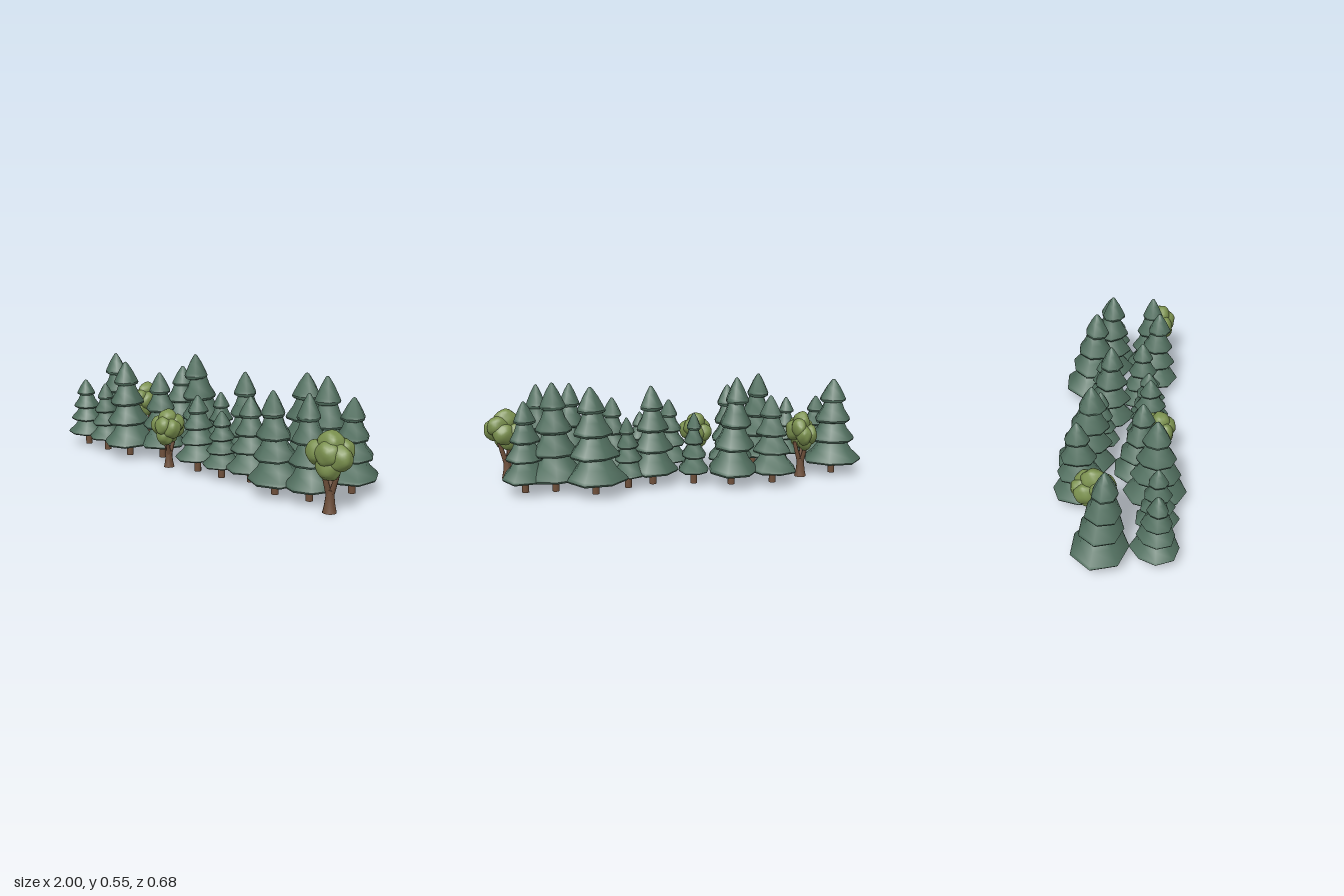
import * as THREE from 'three';
import { toCreasedNormals } from 'three/addons/utils/BufferGeometryUtils.js';

const needles = new THREE.MeshStandardMaterial({ color: 0x527060 });
const leaves = new THREE.MeshStandardMaterial({ color: 0x7a904e });
const bark = new THREE.MeshStandardMaterial({ color: 0x6e4f3a });
needles.name = 'needleGreen';
leaves.name = 'leafGreen';
bark.name = 'barkBrown';

// Small seeded generator
function seeded(seed) {
  let s = seed * 7919 + 17;
  return () => {
    s = (s * 16807) % 2147483647;
    return s / 2147483647;
  };
}

function part(geometry, material, name) {
  const mesh = new THREE.Mesh(geometry, material);
  mesh.name = name;
  return mesh;
}

// Skirt profiles: [share of radius, share of height]
const SKIRT = [[0, 0.02], [0.8, 0], [0.95, 0.03], [1, 0.1], [0.95, 0.2], [0.66, 0.5], [0.46, 0.85], [0, 1.05]];
const TIP = [[0, 0.02], [0.8, 0], [0.97, 0.05], [1, 0.13], [0.9, 0.25], [0.52, 0.65], [0.17, 0.94], [0.08, 0.985], [0, 1]];

// Irregular seven- or eight-sided skirt of branches
function skirt(profile, radius, height, sides, factors) {
  const pts = profile.map(([r, y]) => new THREE.Vector2(r * radius, y * height));
  const g = new THREE.LatheGeometry(pts, sides);
  const p = g.attributes.position;
  for (let i = 0; i < p.count; i++) {
    const f = factors[Math.floor(i / pts.length) % sides];
    p.setX(i, p.getX(i) * f);
    p.setZ(i, p.getZ(i) * f);
  }
  return toCreasedNormals(g, 0.65);
}

// Conifer: trunk and four stacked skirts leaning to the tip
function conifer([x, z, height, rx, rz, tipX, tipZ], index) {
  const rand = seeded(index + 3);
  const tree = new THREE.Group();
  tree.name = 'conifer';
  const trunk = part(new THREE.CylinderGeometry(0.017, 0.018, 0.14, 10), bark, 'trunk');
  trunk.position.set(x, 0.07, z);
  tree.add(trunk);
  const base = 0.06 + rand() * 0.008;
  const span = height - base;
  const sides = 7 + (index % 2);
  const outline = Array.from({ length: sides }, () => 0.94 + rand() * 0.15);
  const starts = [0, 0.25, 0.48, 0.72];
  const sizes = [1, 0.79, 0.63, 0.45];
  starts.forEach((s, k) => {
    const last = k === 3;
    const factors = outline.map((f) => f + (rand() - 0.5) * 0.08);
    const g = skirt(last ? TIP : SKIRT, sizes[k], span * (last ? 0.28 : 0.31), sides, factors);
    const mesh = part(g, needles, last ? 'topSkirt' : 'branchSkirt');
    mesh.scale.set(rx, 1, rz);
    const t = k / 3;
    mesh.position.set(x + (tipX - x) * t, base + span * s, z + (tipZ - z) * t);
    tree.add(mesh);
  });
  return tree;
}

// Lumpy ball of leaves
function lump(radius, phase) {
  const g = new THREE.IcosahedronGeometry(1, 4);
  const p = g.attributes.position;
  const v = new THREE.Vector3();
  for (let i = 0; i < p.count; i++) {
    v.fromBufferAttribute(p, i);
    const d = 1 + 0.05 * Math.sin(5 * v.x + phase) * Math.cos(4 * v.y + phase) + 0.04 * Math.sin(6 * v.z + 3 * v.y + phase);
    v.multiplyScalar(d * radius);
    p.setXYZ(i, v.x, v.y, v.z);
  }
  return toCreasedNormals(g, 1);
}

// Crown lobes: [x, y, z, radius] in a unit crown
const LOBES = [
  [0, 0.45, 0.05, 0.56], [-0.45, 0.1, 0.3, 0.5], [0.48, 0.02, 0.2, 0.52], [0.1, -0.1, -0.48, 0.5],
  [-0.42, -0.1, -0.3, 0.5], [0.05, -0.4, 0.3, 0.52], [0.1, 0.15, 0.48, 0.5], [-0.15, -0.42, -0.15, 0.52],
  [0.35, 0.25, -0.3, 0.48],
];

// Branch between two points, thinning upward
function limb(from, to, r0, r1) {
  const a = new THREE.Vector3(...from);
  const dir = new THREE.Vector3(...to).sub(a);
  const mesh = part(new THREE.CylinderGeometry(r1, r0, dir.length(), 8), bark, 'branch');
  mesh.position.copy(a).addScaledVector(dir, 0.5);
  mesh.quaternion.setFromUnitVectors(new THREE.Vector3(0, 1, 0), dir.normalize());
  return mesh;
}

// Broadleaf: flared trunk, forked branches and lobed crown
function broadleaf([x, z, low, high, rx, rz], index) {
  const tree = new THREE.Group();
  tree.name = 'broadleafTree';
  const k = high / 0.37;
  const profile = [[0, 0], [0.033, 0], [0.026, 0.03], [0.021, 0.07], [0.02, 0.105], [0, 0.11]];
  const trunk = part(
    toCreasedNormals(new THREE.LatheGeometry(profile.map(([r, y]) => new THREE.Vector2(r * k, y * k)), 10), 0.7),
    bark, 'trunk');
  tree.add(trunk);
  for (let i = 0; i < 3; i++) {
    const a = index + (i * Math.PI * 2) / 3;
    const c = Math.cos(a) * k, s = Math.sin(a) * k;
    tree.add(limb([c * 0.006, 0.08 * k, s * 0.006], [c * 0.04, 0.2 * k, s * 0.04], 0.014 * k, 0.01 * k));
  }
  const crown = new THREE.Group();
  crown.name = 'crown';
  LOBES.forEach(([lx, ly, lz, r], i) => {
    const mesh = part(lump(r, i * 1.7 + index), leaves, 'leafLobe');
    mesh.position.set(lx, ly, lz);
    crown.add(mesh);
  });
  crown.position.y = (low + high) / 2;
  crown.scale.set(rx, (high - low) / 2, rz);
  tree.add(crown);
  tree.position.set(x, 0, z);
  return tree;
}

// Conifers: [x, z, height, x radius, z radius, tip x, tip z]
const CONIFERS = [
  // back row
  [-0.845, -0.06, 0.51, 0.153, 0.14, -0.855, -0.03],
  [-0.465, -0.18, 0.46, 0.12, 0.132, -0.445, -0.19],
  [-0.245, -0.17, 0.55, 0.135, 0.155, -0.28, -0.13],
  [-0.06, -0.11, 0.37, 0.085, 0.105, -0.06, -0.105],
  [0.15, -0.08, 0.51, 0.132, 0.135, 0.155, -0.06],
  [0.285, -0.12, 0.36, 0.085, 0.1, 0.29, -0.11],
  [0.46, -0.2, 0.53, 0.155, 0.15, 0.475, -0.16],
  [0.65, -0.11, 0.545, 0.14, 0.145, 0.655, -0.08],
  [0.8, -0.1, 0.46, 0.12, 0.14, 0.795, -0.1],
  // front row
  [-0.845, 0.195, 0.38, 0.11, 0.11, -0.85, 0.2],
  [-0.66, 0.2, 0.38, 0.09, 0.105, -0.67, 0.2],
  [-0.475, 0.19, 0.52, 0.128, 0.153, -0.5, 0.19],
  [-0.31, 0.095, 0.475, 0.122, 0.12, -0.3, 0.12],
  [0.02, 0.15, 0.4, 0.11, 0.125, 0.02, 0.15],
  [0.185, 0.145, 0.34, 0.095, 0.11, 0.18, 0.14],
  [0.34, 0.1, 0.43, 0.115, 0.12, 0.335, 0.1],
  [0.55, 0.165, 0.5, 0.128, 0.138, 0.55, 0.19],
  [0.725, 0.13, 0.505, 0.115, 0.13, 0.725, 0.15],
];

// Broadleaf trees: [x, z, crown bottom, crown top, x radius, z radius]
const BROADLEAVES = [
  [-0.65, -0.1, 0.14, 0.35, 0.075, 0.11],
  [-0.145, 0.2, 0.115, 0.31, 0.09, 0.087],
  [0.885, 0.195, 0.145, 0.37, 0.116, 0.09],
];

export function createModel() {
  const model = new THREE.Group();
  model.name = 'treeline';
  CONIFERS.forEach((spec, i) => model.add(conifer(spec, i)));
  BROADLEAVES.forEach((spec, i) => model.add(broadleaf(spec, i)));
  return model;
}
